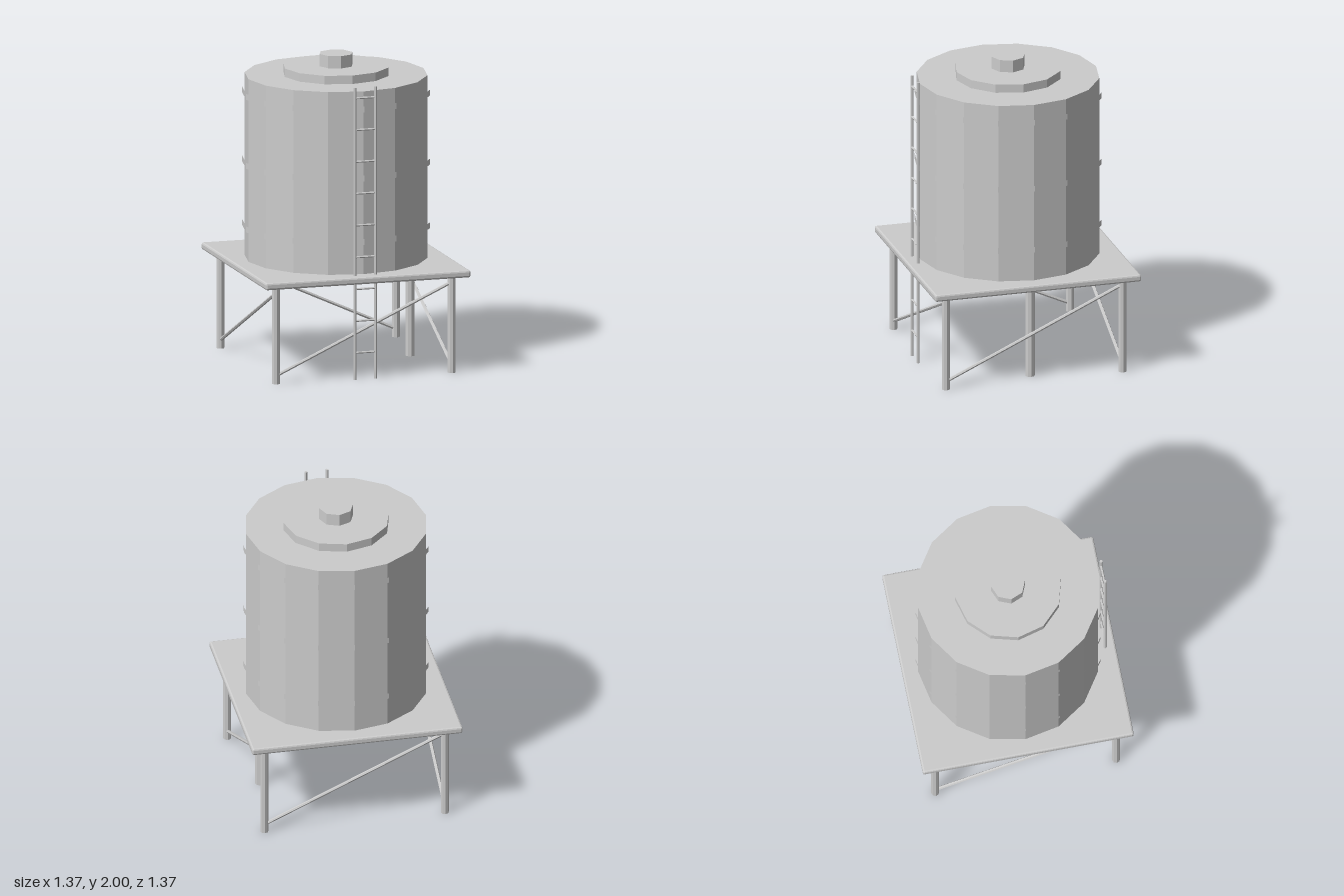
import * as THREE from 'three';
import { RoundedBoxGeometry } from 'three/addons/geometries/RoundedBoxGeometry.js';

export function createModel() {
  const model = new THREE.Group();
  model.name = 'waterTower';
  const steel = new THREE.MeshStandardMaterial({ color: 0xcccccc, flatShading: true });
  steel.name = 'steelGrey';

  const add = (name, geometry, parent = model) => {
    const mesh = new THREE.Mesh(geometry, steel);
    mesh.name = name;
    parent.add(mesh);
    return mesh;
  };

  // Upright cylinder between two heights
  const drum = (name, radius, y0, y1, sides, open = false, parent = model) => {
    const mesh = add(name, new THREE.CylinderGeometry(radius, radius, y1 - y0, sides, 1, open), parent);
    mesh.position.y = (y0 + y1) / 2;
    return mesh;
  };

  // Straight rod between two points
  const rod = (name, a, b, radius, sides, parent = model) => {
    const along = b.clone().sub(a);
    const mesh = add(name, new THREE.CylinderGeometry(radius, radius, along.length(), sides), parent);
    mesh.position.copy(a).add(b).multiplyScalar(0.5);
    mesh.quaternion.setFromUnitVectors(new THREE.Vector3(0, 1, 0), along.normalize());
    return mesh;
  };
  const v = (x, y, z) => new THREE.Vector3(x, y, z);

  // Tank with its bands, lid and vent
  drum('tank', 0.585, 0.675, 1.865, 16);
  for (const y of [0.888, 1.302, 1.751]) drum('tankBand', 0.6, y - 0.019, y + 0.019, 16, true);
  drum('lid', 0.343, 1.865, 1.92, 12);
  drum('vent', 0.11, 1.92, 2, 8);

  // Platform with bevelled edges
  const platform = add('platform', new RoundedBoxGeometry(1.37, 0.046, 1.37, 1, 0.012));
  platform.position.y = 0.653;

  // Four legs, each with one diagonal brace to the next
  const r = 0.587;
  for (let i = 0; i < 4; i++) {
    const side = new THREE.Group();
    side.name = 'legAndBrace';
    side.rotation.y = i * Math.PI / 2;
    model.add(side);
    const leg = drum('leg', 0.026, 0, 0.64, 8, false, side);
    leg.position.x = -r;
    leg.position.z = r;
    rod('brace', v(-r, 0.052, r), v(r, 0.59, r), 0.011, 6, side);
  }

  // Supply pipe under the tank
  drum('supplyPipe', 0.031, 0, 0.64, 8).position.x = 0.495;

  // Ladder
  const ladder = new THREE.Group();
  ladder.name = 'ladder';
  ladder.position.z = 0.618;
  model.add(ladder);
  for (const s of [-1, 1]) drum('ladderRail', 0.01, 0, 1.9, 6, false, ladder).position.x = s * 0.069;
  for (let i = 0; i < 9; i++) {
    const y = 0.175 + i * 0.207;
    rod('ladderRung', v(-0.069, y, 0), v(0.069, y, 0), 0.007, 6, ladder);
  }
  return model;
}
